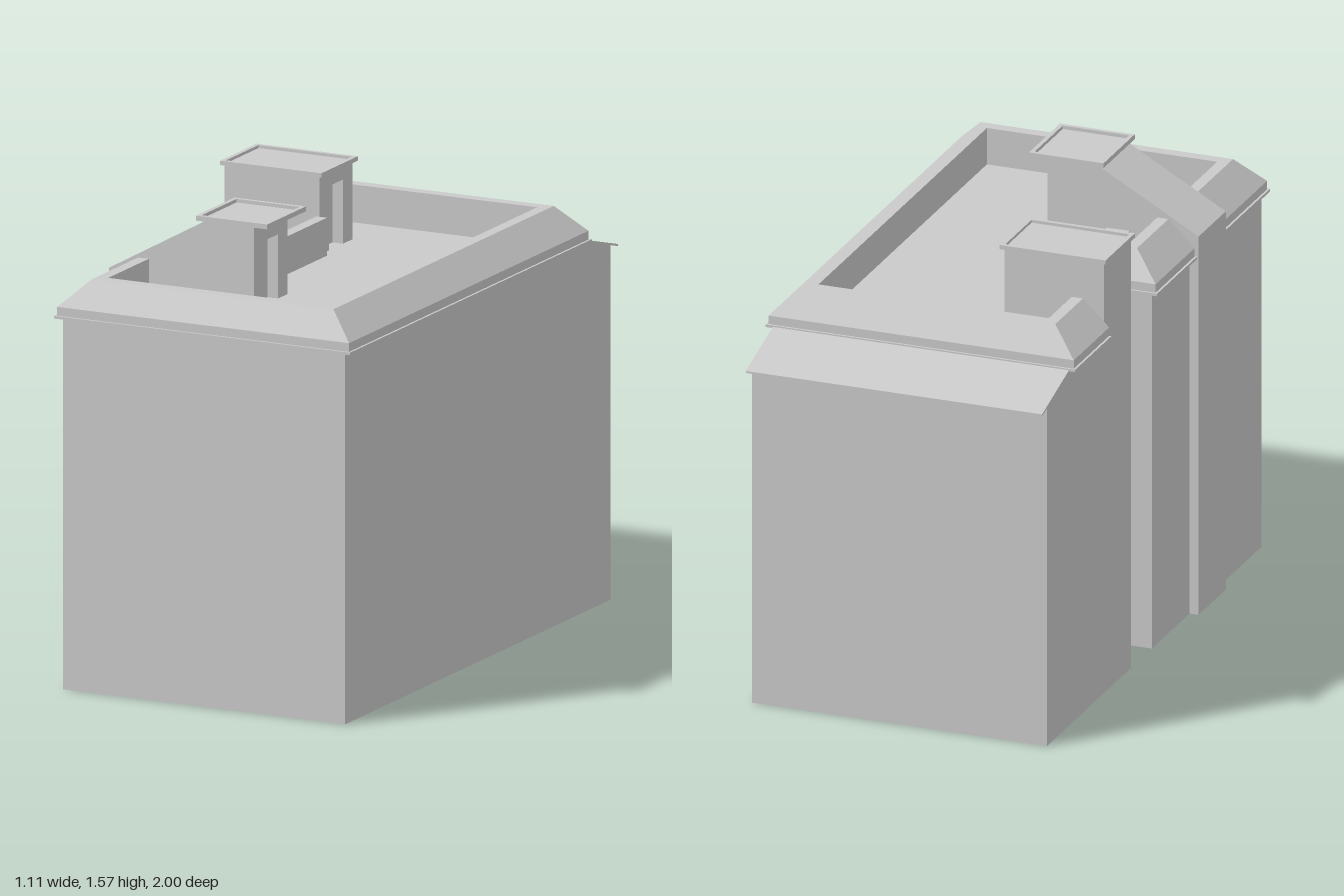
import * as THREE from 'three';

const stone = new THREE.MeshStandardMaterial({ color: 0xc9c9c9, side: THREE.DoubleSide });
stone.name = 'stone grey';

const FLOOR = 1.27; // roof terrace level

function add(parent, name, geometry) {
  const mesh = new THREE.Mesh(geometry, stone);
  mesh.name = name;
  parent.add(mesh);
  return mesh;
}

function group(parent, name) {
  const g = new THREE.Group();
  g.name = name;
  parent.add(g);
  return g;
}

const shapeOf = (pts) => new THREE.Shape(pts.map(([a, b]) => new THREE.Vector2(a, b)));
const rect = (a0, a1, b0, b1) => [[a0, b0], [a1, b0], [a1, b1], [a0, b1]];
const extrude = (shape, depth) => new THREE.ExtrudeGeometry(shape, { depth, bevelEnabled: false });

// Box given by its limits
function box(x0, x1, y0, y1, z0, z1) {
  return new THREE.BoxGeometry(x1 - x0, y1 - y0, z1 - z0)
    .translate((x0 + x1) / 2, (y0 + y1) / 2, (z0 + z1) / 2);
}
// Plan outline in (x, -z), raised from y0 to y1
const raise = (shape, y0, y1) => extrude(shape, y1 - y0).rotateX(-Math.PI / 2).translate(0, y0, 0);
// Side outline in (z, y), spanning x0 to x1
const span = (shape, x0, x1) => extrude(shape, x1 - x0).rotateY(-Math.PI / 2).translate(x1, 0, 0);

// Strip of flat faces between successive rows of points
function skin(rows) {
  const n = rows[0].length;
  const index = [];
  for (let i = 0; i < rows.length - 1; i++) {
    for (let j = 0; j < n - 1; j++) {
      const a = i * n + j, b = a + n;
      index.push(a, a + 1, b + 1, a, b + 1, b);
    }
  }
  const g = new THREE.BufferGeometry();
  g.setAttribute('position', new THREE.Float32BufferAttribute(rows.flat(2), 3));
  g.setIndex(index);
  const flat = g.toNonIndexed();
  flat.computeVertexNormals();
  return flat;
}

// Wall line (x, z) from the light well round the back to the front and home
const WALLS = [
  [-0.526, -0.19], [-0.526, -0.74], [-0.526, -0.945], [0.529, -0.945], [0.529, -0.74],
  [0.529, 0.985], [-0.526, 0.985], [-0.526, 0], [-0.258, 0], [-0.258, -0.19], [-0.526, -0.19],
];
const wallTop = (z) => (z < -0.8 ? 1.217 : 1.274);

// Parapet section: inset in x, inset in z, height
const SECTION = [
  [0.026, 0.015, 1.271], [0, 0, 1.271], [0, 0, 1.28], [0.008, 0.008, 1.28],
  [0.008, 0.008, 1.31], [0.102, 0.078, 1.4], [0.142, 0.12, 1.4], [0.142, 0.12, FLOOR],
];
// Parapet corners: x, z, and the inward direction
const CORNERS = [
  [-0.552, -0.43, 1, 0], [-0.552, -0.757, 1, 1], [0.556, -0.757, -1, 1], [0.556, 1, -1, -1],
  [-0.552, 1, 1, -1], [-0.552, -0.02, 1, 1], [-0.284, -0.02, 1, 1], [-0.284, -0.19, 1, 0],
];

// Slab with a raised rim
function addCap(parent, x0, x1, z0, z1, y0, y1) {
  const rim = 0.015;
  const ring = shapeOf(rect(x0, x1, -z1, -z0));
  ring.holes.push(shapeOf(rect(x0 + rim, x1 - rim, -z1 + rim, -z0 - rim)));
  add(parent, 'capSlab', box(x0, x1, y0, y0 + 0.005, z0, z1));
  add(parent, 'capRim', raise(ring, y0 + 0.005, y1));
}

// Wall on the +x side with a recessed doorway
function addDoorWall(parent, x0, x1, z0, z1, top, d0, d1, doorTop) {
  const wall = shapeOf([
    [z0, FLOOR], [d0, FLOOR], [d0, doorTop], [d1, doorTop], [d1, FLOOR], [z1, FLOOR], [z1, top], [z0, top],
  ]);
  add(parent, 'doorWall', span(wall, x0, x1));
}

export function createModel() {
  const model = new THREE.Group();
  model.name = 'building';

  // Outer walls, open underneath, with the light well cut into one side
  add(model, 'walls', skin(WALLS.map(([x, z]) => [[x, 0, z], [x, wallTop(z), z]])));

  // Roof terrace
  const terrace = WALLS.filter(([, z]) => z > -0.8).map(([x, z]) => [x, -z]);
  add(model, 'terrace', new THREE.ShapeGeometry(shapeOf(terrace)).rotateX(-Math.PI / 2).translate(0, FLOOR, 0));

  // Sloping rear eave
  const eave = [[-1, 1.2], [-0.74, 1.272], [-0.74, 1.28], [-1, 1.207]];
  add(model, 'rearEave', span(shapeOf(eave), -0.53, 0.53));

  // Sloped parapet with closed ends
  const parapet = group(model, 'parapet');
  add(parapet, 'parapetRun', skin(CORNERS.map(([x, z, sx, sz]) =>
    SECTION.map(([dx, dz, y]) => [x + sx * dx, y, z + sz * dz]))));
  const end = new THREE.ShapeGeometry(shapeOf(SECTION.map(([dx, , y]) => [dx, y])));
  add(parapet, 'parapetEndRear', end.clone().translate(-0.552, 0, -0.43));
  add(parapet, 'parapetEndWell', end.rotateY(Math.PI).scale(-1, 1, 1).translate(-0.284, 0, -0.19));

  // Front stairhead with a sloping back running down the side wall
  const frontStair = group(model, 'frontStairhead');
  const stair = [
    [-0.558, 0], [-0.526, 0], [-0.526, FLOOR], [-0.057, FLOOR], [-0.057, 1.556], [-0.195, 1.556], [-0.558, 1.353],
  ];
  add(frontStair, 'stairShaft', extrude(shapeOf(stair), 0.245).translate(0, 0, 0.34));
  addDoorWall(frontStair, -0.057, -0.017, 0.34, 0.585, 1.556, 0.41, 0.517, 1.49);
  addCap(frontStair, -0.225, 0.042, 0.322, 0.603, 1.556, 1.573);

  // Rear stairhead, flush with the side wall and the light well
  const rearStair = group(model, 'rearStairhead');
  add(rearStair, 'stairhead', box(-0.526, -0.21, FLOOR, 1.538, -0.43, -0.19));
  addDoorWall(rearStair, -0.21, -0.17, -0.43, -0.19, 1.538, -0.36, -0.258, 1.49);
  addCap(rearStair, -0.536, -0.157, -0.443, -0.178, 1.538, 1.553);

  // Small chimney on the parapet
  const chimney = group(model, 'chimney');
  add(chimney, 'chimneyShaft', box(-0.416, -0.346, 1.3, 1.442, 0.01, 0.052));
  add(chimney, 'chimneyCap', box(-0.422, -0.34, 1.442, 1.456, 0, 0.062));

  return model;
}
